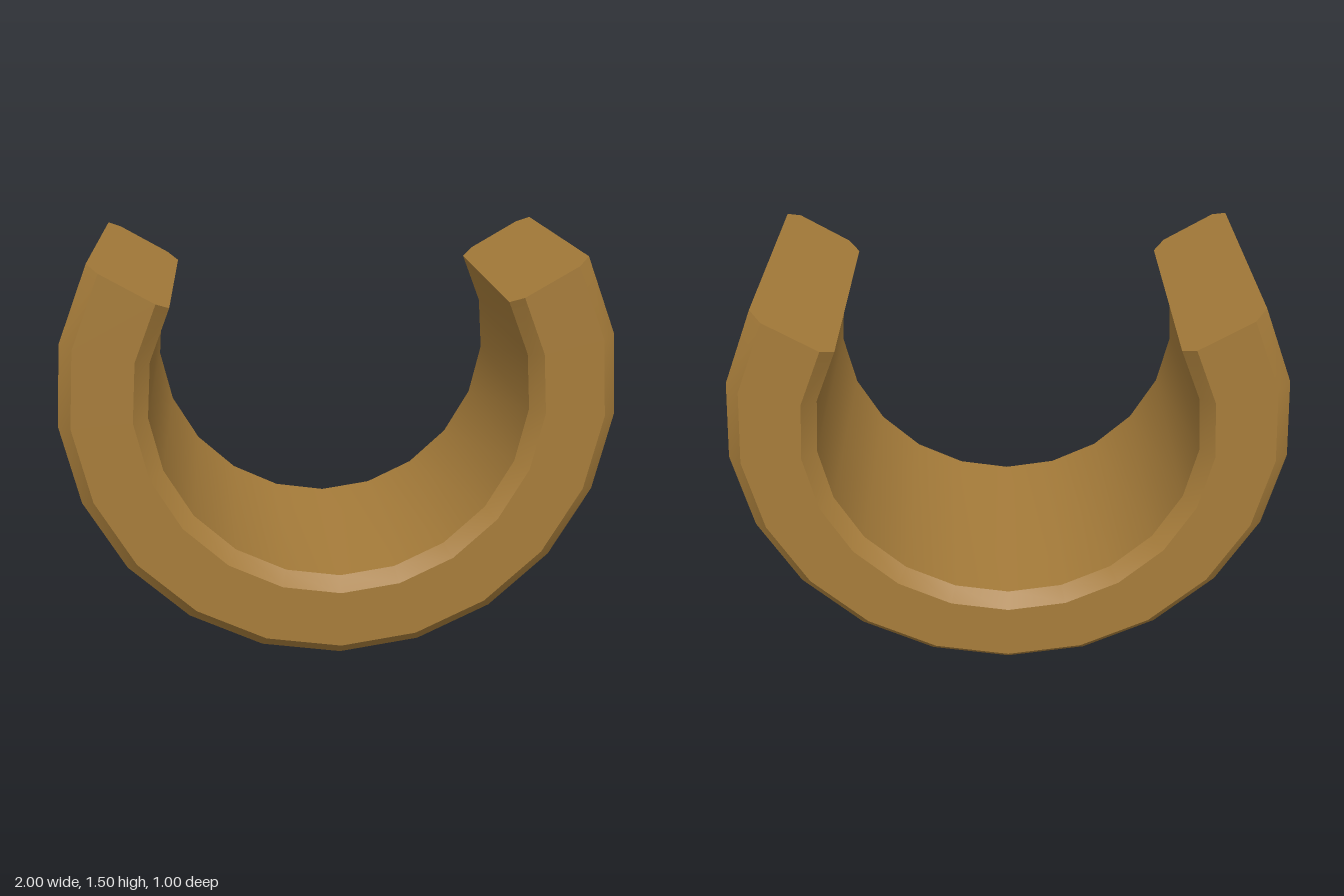
import * as THREE from 'three';
import { toCreasedNormals } from 'three/addons/utils/BufferGeometryUtils.js';

const OUTER = 1.003, INNER = 0.686, HALF = 0.5, BEVEL = 0.05;
const SWEEP = (Math.PI * 2) / 3; // half of the 240 degree arc
const SEGMENTS = 14;

// Bevelled rectangular cross-section: x is the radius, y runs along the depth
function crossSection() {
  const b = BEVEL;
  return [
    [INNER + b, -HALF], [OUTER - b, -HALF], [OUTER, -HALF + b], [OUTER, HALF - b],
    [OUTER - b, HALF], [INNER + b, HALF], [INNER, HALF - b], [INNER, -HALF + b],
  ].map(([r, d]) => new THREE.Vector2(r, d));
}

export function createModel() {
  const group = new THREE.Group();
  group.name = 'openRing';
  const bronze = new THREE.MeshStandardMaterial({ color: 0xa67c3a });
  bronze.name = 'bronze';
  const profile = crossSection();

  // Curved body, open at the top
  const lathe = new THREE.LatheGeometry([...profile, profile[0].clone()], SEGMENTS, -SWEEP, SWEEP * 2);
  lathe.rotateX(Math.PI / 2);
  const body = new THREE.Mesh(toCreasedNormals(lathe, Math.PI / 6), bronze);
  body.name = 'ringBody';
  body.position.y = OUTER;
  group.add(body);

  // Flat faces closing both ends of the arc
  for (const side of [-1, 1]) {
    const a = side * SWEEP;
    const radial = new THREE.Vector3(Math.sin(a), -Math.cos(a), 0);
    const depth = new THREE.Vector3(0, 0, -side);
    const outward = new THREE.Vector3(Math.cos(a), Math.sin(a), 0).multiplyScalar(side);
    const face = new THREE.ShapeGeometry(new THREE.Shape(profile));
    face.applyMatrix4(new THREE.Matrix4().makeBasis(radial, depth, outward));
    const cap = new THREE.Mesh(face, bronze);
    cap.name = side > 0 ? 'leftEndFace' : 'rightEndFace';
    cap.position.y = OUTER;
    group.add(cap);
  }
  return group;
}
